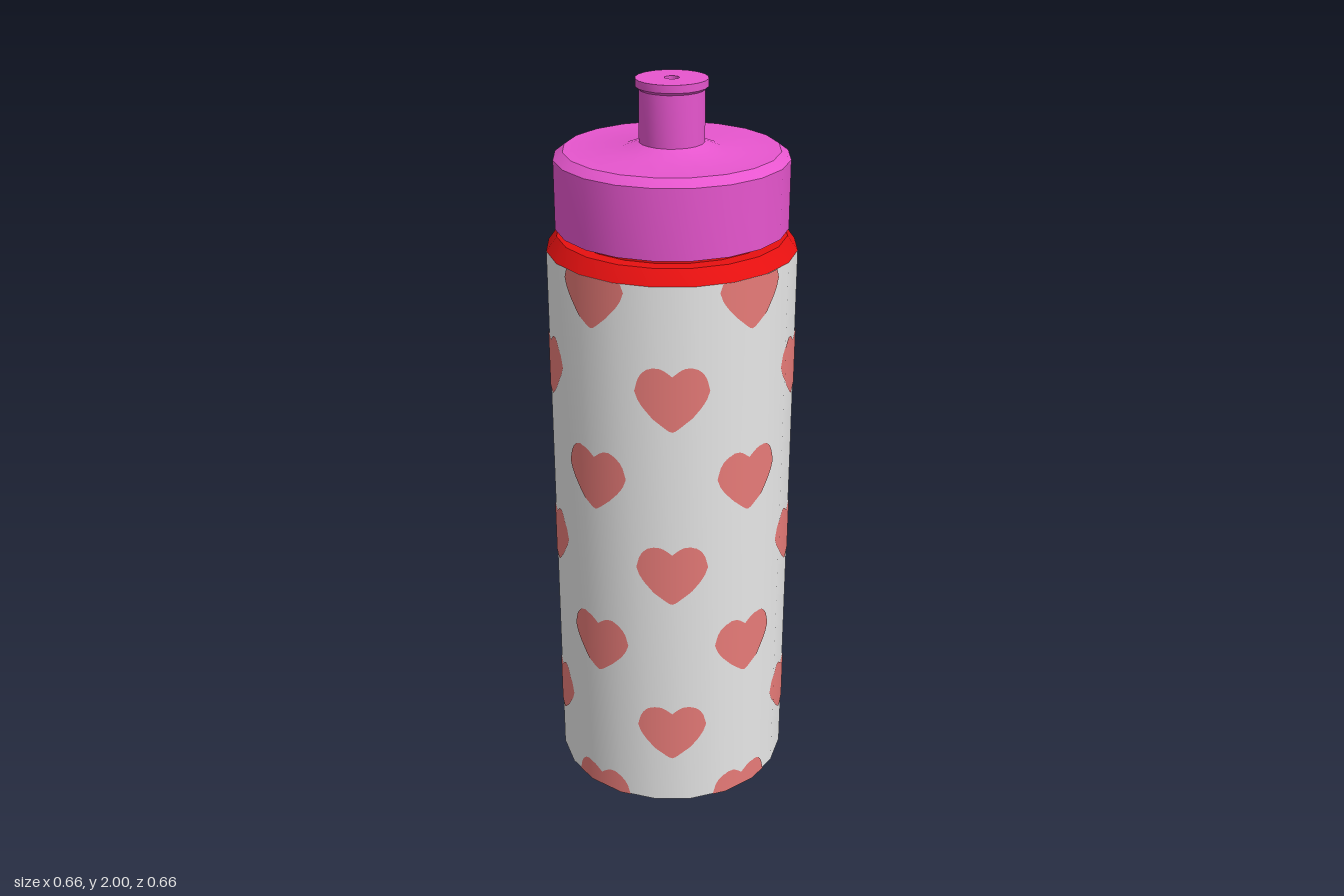
import * as THREE from 'three';
import { toCreasedNormals } from 'three/addons/utils/BufferGeometryUtils.js';

const SIDES = 20;
const BODY_R = 0.33;
const BODY_TOP = 1.565;
const DEG = Math.PI / 180;

const paint = (name, color) => {
  const m = new THREE.MeshStandardMaterial({ color });
  m.name = name;
  return m;
};

// Turned part from [radius, height] pairs, listed from the bottom up
function turned(name, profile, material) {
  const pts = profile.map(([r, y]) => new THREE.Vector2(r, y));
  const geo = toCreasedNormals(new THREE.LatheGeometry(pts, SIDES), 30 * DEG);
  const mesh = new THREE.Mesh(geo, material);
  mesh.name = name;
  return mesh;
}

// Linear interpolation through [x, y] pairs
function curve(points, x) {
  let i = 1;
  while (i < points.length - 1 && points[i][0] < x) i++;
  const [x0, y0] = points[i - 1], [x1, y1] = points[i];
  return y0 + (y1 - y0) * (x - x0) / (x1 - x0);
}

// Heart outline: distance from its axis (0..1) to upper and lower edge height (0..1)
const HEART_UPPER = [[0, 0.86], [0.15, 0.93], [0.3, 0.985], [0.5, 1], [0.7, 0.96], [0.85, 0.87], [0.95, 0.76], [1, 0.62]];
const HEART_LOWER = [[0, 0], [0.1, 0.02], [0.25, 0.09], [0.5, 0.21], [0.75, 0.36], [0.9, 0.47], [1, 0.62]];
const HEART_HALF = 17;     // degrees
const HEART_HEIGHT = 0.178;

// Distance from the axis to the flat-sided body wall at an angle in degrees
function wallRadius(deg) {
  const step = 360 / SIDES;
  const local = ((deg % step) + step) % step - step / 2;
  return BODY_R * Math.cos(step / 2 * DEG) / Math.cos(local * DEG);
}

// Heart plate wrapped on the wall, made of vertical strips and cut at the back seam and rims
function heart(centre, tipY, material) {
  const angles = [];
  for (let i = -12; i <= 12; i++) angles.push(centre + HEART_HALF * i / 12);
  for (let a = -180; a <= 180; a += 360 / SIDES) {
    if (Math.abs(a - centre) < HEART_HALF) angles.push(a);
  }
  const columns = angles.filter(a => a >= -180 && a <= 180).sort((a, b) => a - b);
  const pos = [], nor = [], idx = [];
  columns.forEach((deg, i) => {
    const across = Math.min(1, Math.abs(deg - centre) / HEART_HALF);
    const s = Math.sin(deg * DEG), c = Math.cos(deg * DEG), r = wallRadius(deg) + 0.002;
    for (const edge of [HEART_LOWER, HEART_UPPER]) {
      const y = THREE.MathUtils.clamp(tipY + HEART_HEIGHT * curve(edge, across), 0, BODY_TOP);
      pos.push(r * s, y, r * c);
      nor.push(s, 0, c);
    }
    if (i > 0) {
      const a = 2 * i - 2;
      idx.push(a, a + 2, a + 1, a + 2, a + 3, a + 1);
    }
  });
  const geo = new THREE.BufferGeometry();
  geo.setAttribute('position', new THREE.Float32BufferAttribute(pos, 3));
  geo.setAttribute('normal', new THREE.Float32BufferAttribute(nor, 3));
  geo.setIndex(idx);
  const mesh = new THREE.Mesh(geo, material);
  mesh.name = 'heart';
  return mesh;
}

export function createModel() {
  const white = paint('white', 0xf6f6f6);
  const pink = paint('heart pink', 0xf68380);
  const red = paint('red', 0xee1111);
  const magenta = paint('magenta', 0xf25ad8);

  const bottle = new THREE.Group();
  bottle.name = 'bottle';

  // Body
  bottle.add(
    turned('base', [[0, 0], [BODY_R, 0]], magenta),
    turned('bodyWall', [[BODY_R, 0], [BODY_R, BODY_TOP]], white),
    turned('collar', [[BODY_R, BODY_TOP], [0.302, 1.603], [0.265, 1.603], [0.265, 1.625]], red),
  );

  // Lid with a chamfered rim, and the drinking spout with its lip and hole
  bottle.add(
    turned('lid', [[0.25, 1.622], [0.305, 1.622], [0.305, 1.803], [0.28, 1.822], [0.13, 1.822], [0.085, 1.84]], magenta),
    turned('spout', [[0.085, 1.84], [0.085, 1.973], [0.093, 1.98], [0.093, 2], [0.019, 2], [0.019, 1.97], [0, 1.97]], magenta),
  );

  // Two staggered sets of heart rows
  const hearts = new THREE.Group();
  hearts.name = 'hearts';
  const spacing = 76.5, rise = 0.514;
  for (const [firstAngle, firstY, rows] of [[-165, -0.111, 4], [-126.5, 0.146, 3]]) {
    for (let row = 0; row < rows; row++) {
      for (let i = 0; i < 5; i++) {
        hearts.add(heart(firstAngle + spacing * i, firstY + rise * row, pink));
      }
    }
  }
  bottle.add(hearts);
  return bottle;
}
